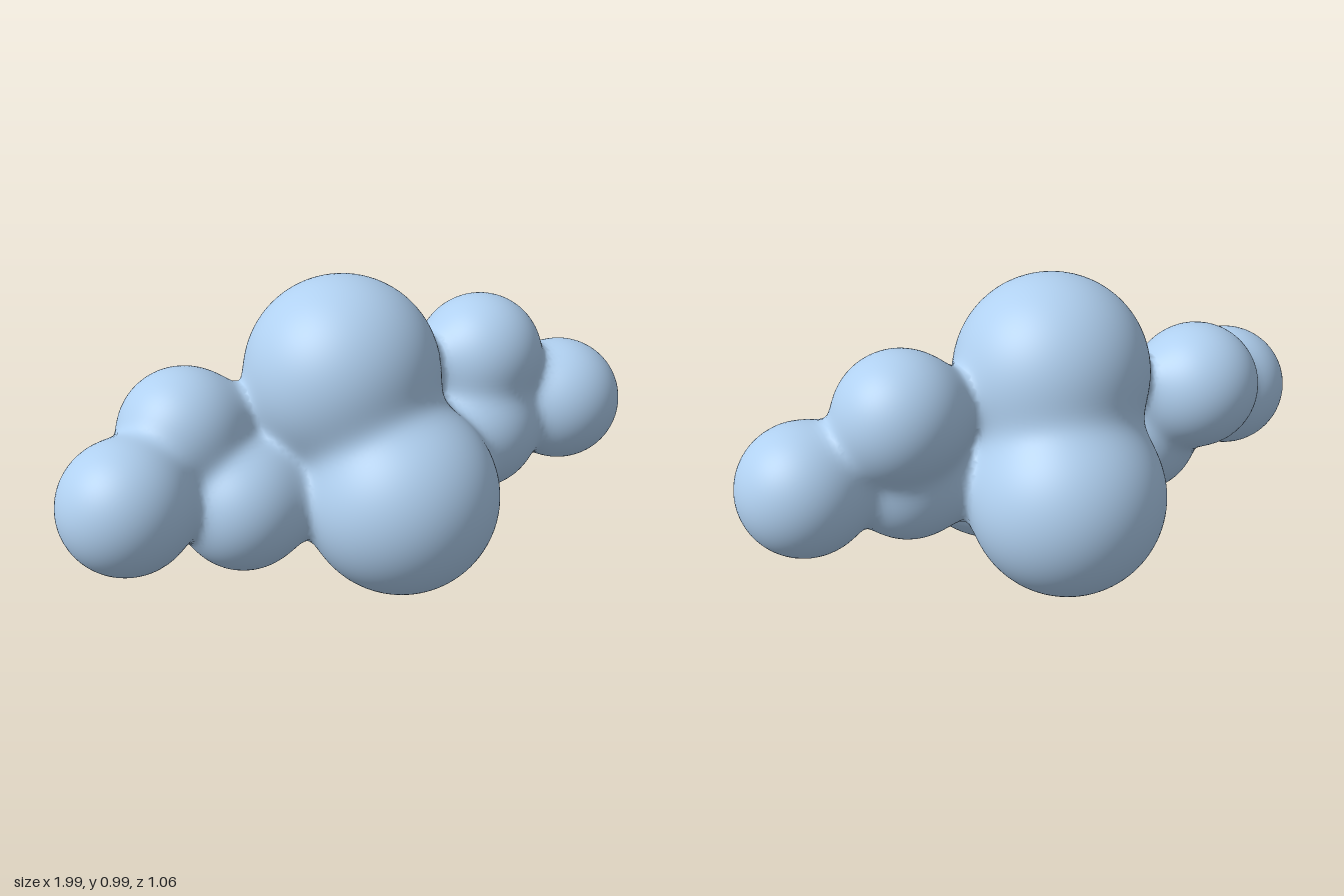
import * as THREE from 'three';

// Blobs that melt together: [x, y, z, radius]
const BIG = 0.315, SMALL = 0.21;
const blobs = [
  // three large central lobes
  [-0.03, 0.675, -0.018, BIG],
  [0.056, 0.315, 0.215, BIG],
  [0.03, 0.328, -0.217, BIG],
  // left arm
  [0.785, 0.44, 0.073, SMALL],
  [0.49, 0.637, 0.0, SMALL],
  [0.45, 0.404, 0.058, SMALL],
  // right arm
  [-0.788, 0.42, 0.03, SMALL],
  [-0.538, 0.542, -0.115, SMALL],
  [-0.412, 0.329, 0.035, SMALL],
];
const SHARPNESS = 4.2; // higher means tighter seams between blobs

// Smooth union: negative inside, positive outside; writes the gradient if asked
function field(x, y, z, grad) {
  let sum = 0, gx = 0, gy = 0, gz = 0;
  for (const [cx, cy, cz, r] of blobs) {
    const dx = x - cx, dy = y - cy, dz = z - cz, k = SHARPNESS / (r * r);
    const w = Math.exp(SHARPNESS - k * (dx * dx + dy * dy + dz * dz));
    sum += w;
    gx += 2 * k * w * dx;
    gy += 2 * k * w * dy;
    gz += 2 * k * w * dz;
  }
  if (grad) grad.set(gx, gy, gz).divideScalar(sum);
  return -Math.log(sum + 1e-30);
}

// Wraps the field in a smooth skin: one vertex per crossed grid cell
function skin(min, max, step) {
  const n = min.map((m, a) => Math.ceil((max[a] - m) / step) + 1);
  const stride = [1, n[0], n[0] * n[1]];
  const values = new Float32Array(n[0] * n[1] * n[2]);
  const cellVertex = new Int32Array(values.length).fill(-1);
  const positions = [], normals = [], indices = [];
  const p = new THREE.Vector3(), g = new THREE.Vector3();

  const eachPoint = (start, trim, visit) => {
    for (let k = start; k < n[2] - trim; k++)
      for (let j = start; j < n[1] - trim; j++)
        for (let i = start; i < n[0] - trim; i++)
          visit(i + j * stride[1] + k * stride[2], i, j, k);
  };

  eachPoint(0, 0, (id, i, j, k) => {
    values[id] = field(min[0] + i * step, min[1] + j * step, min[2] + k * step);
  });

  // Vertices: mean of the edge crossings, then pulled onto the surface
  const corner = (id, c) => values[id + (c & 1) + ((c >> 1) & 1) * stride[1] + (c >> 2) * stride[2]];
  eachPoint(0, 1, (id, i, j, k) => {
    let count = 0;
    p.set(0, 0, 0);
    for (let c = 0; c < 8; c++) {
      for (let a = 0; a < 3; a++) {
        if (c & (1 << a)) continue;
        const v0 = corner(id, c), v1 = corner(id, c | (1 << a));
        if ((v0 < 0) === (v1 < 0)) continue;
        g.set(c & 1, (c >> 1) & 1, c >> 2);
        g.setComponent(a, v0 / (v0 - v1));
        p.add(g);
        count++;
      }
    }
    if (!count) return;
    p.divideScalar(count);
    p.set(min[0] + (i + p.x) * step, min[1] + (j + p.y) * step, min[2] + (k + p.z) * step);
    for (let s = 0; s < 3; s++) {
      const f = field(p.x, p.y, p.z, g);
      p.addScaledVector(g, -f / Math.max(g.lengthSq(), 1));
    }
    field(p.x, p.y, p.z, g);
    g.normalize();
    cellVertex[id] = positions.length / 3;
    positions.push(p.x, p.y, p.z);
    normals.push(g.x, g.y, g.z);
  });

  // Faces: a quad around every grid edge that crosses the surface
  eachPoint(1, 1, (id) => {
    for (let a = 0; a < 3; a++) {
      const inside = values[id] < 0;
      if (inside === (values[id + stride[a]] < 0)) continue;
      const u = stride[(a + 1) % 3], v = stride[(a + 2) % 3];
      const q = [id, id - u, id - u - v, id - v].map((c) => cellVertex[c]);
      if (!inside) q.reverse();
      indices.push(q[0], q[1], q[2], q[0], q[2], q[3]);
    }
  });

  const geometry = new THREE.BufferGeometry();
  geometry.setAttribute('position', new THREE.Float32BufferAttribute(positions, 3));
  geometry.setAttribute('normal', new THREE.Float32BufferAttribute(normals, 3));
  geometry.setIndex(indices);
  return geometry;
}

export function createModel() {
  const group = new THREE.Group();
  group.name = 'moleculeSurface';
  const material = new THREE.MeshStandardMaterial({ color: 0xb0d0f0 });
  const body = new THREE.Mesh(skin([-1.06, -0.06, -0.6], [1.06, 1.06, 0.6], 0.0175), material);
  body.name = 'mergedSpheres';
  group.add(body);
  return group;
}
